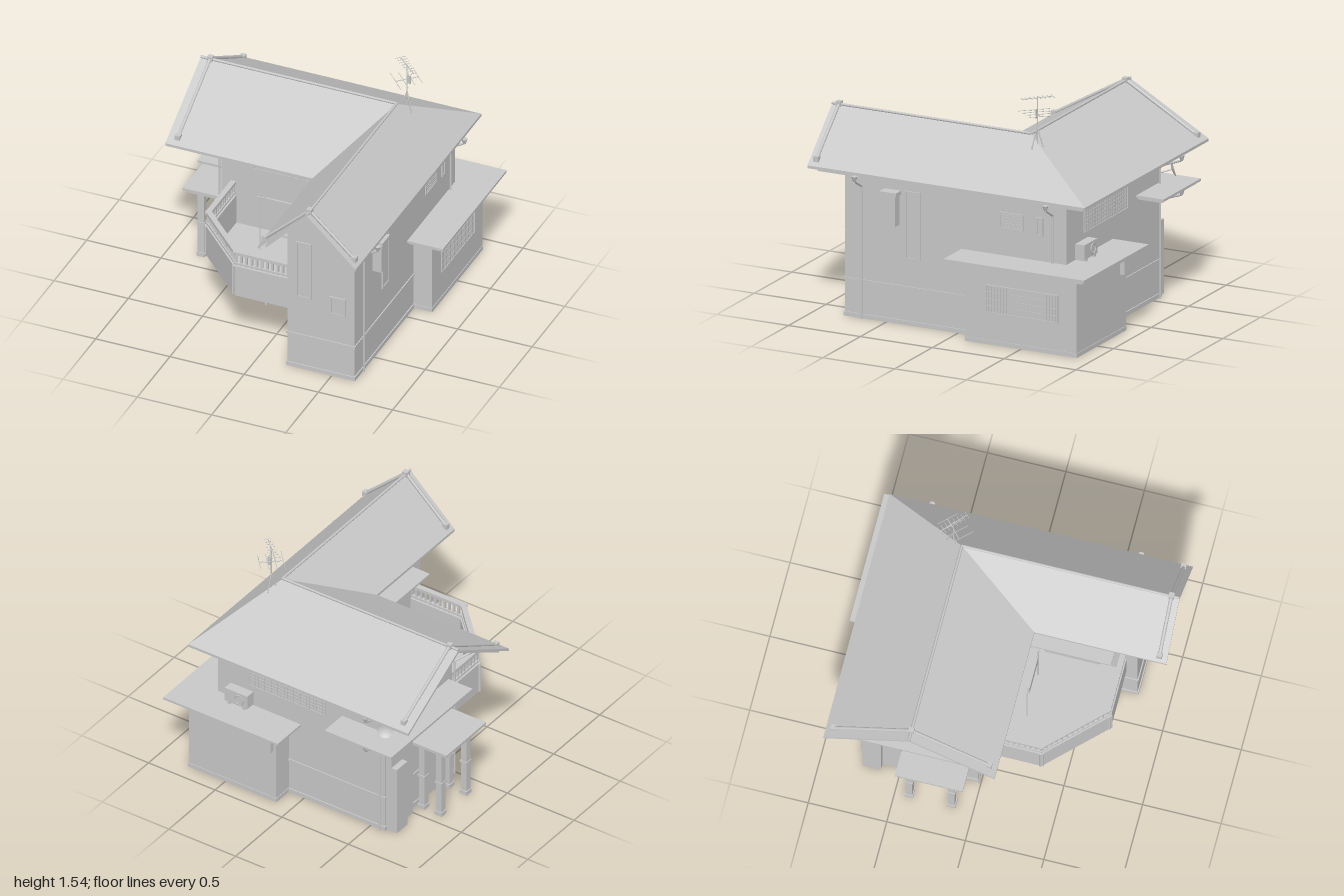
import * as THREE from 'three';

const plaster = new THREE.MeshStandardMaterial({ color: 0xc8c8c8, side: THREE.DoubleSide });
plaster.name = 'plainGrey';

export function createModel() {
  const model = new THREE.Group();
  model.name = 'house';
  let parent = model;

  const add = (name, geo) => {
    const m = new THREE.Mesh(geo, plaster);
    m.name = name;
    parent.add(m);
    return m;
  };
  const group = (name, build) => {
    const g = new THREE.Group();
    g.name = name;
    model.add(g);
    parent = g;
    build();
    parent = model;
  };
  // box given by its extents
  const box = (name, x0, x1, y0, y1, z0, z1) => {
    const m = add(name, new THREE.BoxGeometry(x1 - x0, y1 - y0, z1 - z0));
    m.position.set((x0 + x1) / 2, (y0 + y1) / 2, (z0 + z1) / 2);
    return m;
  };
  // upright slab standing on a plan segment [x,z] to [x,z]
  const seg = (name, a, b, y0, y1, t) => {
    const dx = b[0] - a[0], dz = b[1] - a[1];
    const m = add(name, new THREE.BoxGeometry(Math.hypot(dx, dz) + t, y1 - y0, t));
    m.position.set((a[0] + b[0]) / 2, (y0 + y1) / 2, (a[1] + b[1]) / 2);
    m.rotation.y = -Math.atan2(dz, dx);
  };
  // round bar through a list of points
  const pipe = (name, r, ...pts) => {
    for (let i = 0; i + 1 < pts.length; i++) {
      const a = new THREE.Vector3(...pts[i]), b = new THREE.Vector3(...pts[i + 1]);
      const d = b.clone().sub(a);
      const m = add(name, new THREE.CylinderGeometry(r, r, d.length(), 8));
      m.position.copy(a).add(b).multiplyScalar(0.5);
      m.quaternion.setFromUnitVectors(new THREE.Vector3(0, 1, 0), d.normalize());
    }
  };
  // flat polygons fanned from corner lists
  const panels = (name, polys) => {
    const v = [];
    for (const p of polys) for (let i = 1; i + 1 < p.length; i++) v.push(...p[0], ...p[i], ...p[i + 1]);
    const g = new THREE.BufferGeometry();
    g.setAttribute('position', new THREE.Float32BufferAttribute(v, 3));
    g.computeVertexNormals();
    return add(name, g);
  };
  // wall shell without floor or lid over a plan loop
  const shell = (name, loop, h) => panels(name, loop.map((a, i) => {
    const b = loop[(i + 1) % loop.length];
    return [[a[0], 0, a[1]], [a[0], h, a[1]], [b[0], h, b[1]], [b[0], 0, b[1]]];
  }));
  const band = (name, loop, y0, y1, t) =>
    loop.forEach((a, i) => seg(name, a, loop[(i + 1) % loop.length], y0, y1, t));

  // main walls with gables
  const plan = [[-0.6, -0.75], [0.65, -0.75], [0.65, 0.79], [0.2, 0.79], [0.2, -0.02], [-0.6, -0.02]];
  group('mainWalls', () => {
    shell('walls', plan, 0.98);
    panels('gables', [
      [[0.2, 0.98, 0.79], [0.65, 0.98, 0.79], [0.42, 1.22, 0.79]],
      [[-0.6, 0.98, -0.75], [-0.6, 0.98, -0.02], [-0.6, 1.22, -0.385]],
    ]);
    band('plinth', plan, 0, 0.028, 0.014);
    band('stringCourse', plan, 0.235, 0.25, 0.014);
  });

  // L-shaped roof: two hip and valley layers
  const roofLayer = (name, yr, ye, t, ins, gin) => {
    const L = -0.9 + gin, F = 1 - gin, N = -0.93 + ins, E = 0.75 - ins, W = 0.09 + ins, S = 0.16 - ins;
    const top = {
      R1: [L, yr, -0.385], H: [0.42, yr, -0.385], R2: [0.42, yr, F],
      BL: [L, ye, N], C: [E, ye, N], FR: [E, ye, F], FL: [W, ye, F], V: [W, ye, S], AL: [L, ye, S],
    };
    const low = (k) => [top[k][0], top[k][1] - t, top[k][2]];
    const slopes = [['R1', 'H', 'C', 'BL'], ['H', 'R2', 'FR', 'C'], ['R2', 'H', 'V', 'FL'], ['H', 'R1', 'AL', 'V']];
    const rim = ['BL', 'C', 'FR', 'R2', 'FL', 'V', 'AL', 'R1'];
    panels(name, [
      ...slopes.map((s) => s.map((k) => top[k])),
      ...slopes.map((s) => s.map(low).reverse()),
      ...rim.map((k, i) => {
        const n = rim[(i + 1) % rim.length];
        return [top[k], top[n], low(n), low(k)];
      }),
    ]);
  };
  group('roof', () => {
    roofLayer('roofSlab', 1.275, 0.965, 0.018, 0, 0);
    roofLayer('underRoof', 1.252, 0.947, 0.018, 0.03, 0.055);
    // ridge and verge rolls with end caps
    pipe('ridgeRoll', 0.009, [-0.9, 1.279, -0.385], [0.42, 1.279, -0.385], [0.42, 1.279, 1]);
    pipe('vergeRoll', 0.011, [-0.835, 1.0, -0.88], [-0.835, 1.285, -0.385], [-0.835, 1.0, 0.11]);
    pipe('vergeRoll', 0.011, [0.12, 1.01, 0.95], [0.42, 1.285, 0.95], [0.72, 1.01, 0.95]);
    for (const [x, y, z] of [[-0.835, 0.995, -0.88], [-0.835, 1.28, -0.385], [-0.835, 0.995, 0.11],
      [0.12, 1.005, 0.95], [0.42, 1.28, 0.95], [0.72, 1.005, 0.95]])
      box('rollCap', x - 0.017, x + 0.017, y - 0.015, y + 0.02, z - 0.017, z + 0.017);
  });

  // single-storey annex
  const annex = [[0.12, -0.887], [0.775, -0.887], [0.775, -0.115], [0.12, -0.115]];
  group('annex', () => {
    shell('annexWalls', annex, 0.515);
    band('annexPlinth', annex, 0, 0.028, 0.008);
    box('annexRoof', 0.03, 0.89, 0.53, 0.545, -1, -0.02);
    box('annexEave', 0.055, 0.865, 0.508, 0.53, -0.975, -0.045);
    box('meterBox', 0.14, 0.2, 0.38, 0.48, -0.92, -0.887);
    box('meterLid', 0.135, 0.205, 0.48, 0.49, -0.925, -0.887);
    box('coolingUnit', 0.38, 0.55, 0.56, 0.655, -0.825, -0.76);
    const fan = add('fan', new THREE.TorusGeometry(0.032, 0.004, 6, 20));
    fan.position.set(0.44, 0.607, -0.828);
    for (const x of [0.4, 0.51]) box('unitFoot', x, x + 0.02, 0.545, 0.56, -0.825, -0.76);
  });

  // framed window: u runs along the wall, axis 'x' or 'z' is the wall's run, w its plane, s its outward side
  const win = (name, axis, u0, u1, y0, y1, w, s, cols, rows, t = 0.006) => {
    const d = 0.008 * s;
    const part = (n, a, b, c, e, k) => {
      const lo = Math.min(w, w + d * k), hi = Math.max(w, w + d * k);
      if (axis === 'x') box(n, a, b, c, e, lo, hi);
      else box(n, lo, hi, c, e, a, b);
    };
    group(name, () => {
      part('pane', u0, u1, y0, y1, 0.4);
      part('frame', u0, u0 + t, y0, y1, 1);
      part('frame', u1 - t, u1, y0, y1, 1);
      part('frame', u0, u1, y0, y0 + t, 1);
      part('frame', u0, u1, y1 - t, y1, 1);
      for (let i = 1; i < cols; i++) { const u = u0 + (u1 - u0) * i / cols; part('bar', u - t / 3, u + t / 3, y0, y1, 0.8); }
      for (let i = 1; i < rows; i++) { const y = y0 + (y1 - y0) * i / rows; part('bar', u0, u1, y - t / 3, y + t / 3, 0.8); }
    });
  };
  win('frontTallWindow', 'x', 0.26, 0.36, 0.52, 0.925, 0.79, 1, 1, 1, 0.012);
  win('frontSmallWindow', 'x', 0.485, 0.59, 0.45, 0.58, 0.79, 1, 1, 1, 0.012);
  win('balconyLattice', 'x', -0.39, 0.01, 0.81, 0.885, -0.02, 1, 24, 5);
  win('backLattice', 'x', -0.16, 0.42, 0.69, 0.86, -0.75, -1, 24, 7);
  win('sideTallWindow', 'z', 0.265, 0.37, 0.425, 0.865, 0.65, 1, 1, 1, 0.012);
  win('sideLouvre', 'z', -0.455, -0.29, 0.72, 0.825, 0.65, 1, 2, 6);
  win('sideSlit', 'z', -0.59, -0.54, 0.705, 0.825, 0.65, 1, 1, 1, 0.01);
  win('annexGrille', 'z', -0.76, -0.255, 0.205, 0.385, 0.775, 1, 24, 4);

  // wall boxes and gable vents
  group('wallFittings', () => {
    box('sideBox', 0.65, 0.71, 0.64, 0.835, 0.41, 0.51);
    box('sideBoxLid', 0.65, 0.72, 0.835, 0.86, 0.4, 0.515);
    for (const x of [0.4, 0.44]) box('gableVent', x - 0.008, x + 0.008, 1.13, 1.16, 0.79, 0.798);
  });

  // balcony with chamfered corner
  group('balcony', () => {
    const path = [[-0.52, -0.02], [-0.52, 0.36], [-0.185, 0.7], [0.2, 0.7]];
    const floor = new THREE.Shape([[-0.53, 0.02], [-0.53, -0.365], [-0.19, -0.71], [0.2, -0.71], [0.2, 0.02]]
      .map((p) => new THREE.Vector2(...p)));
    const f = add('balconyFloor', new THREE.ExtrudeGeometry(floor, { depth: 0.02, bevelEnabled: false }));
    f.rotation.x = -Math.PI / 2;
    f.position.y = 0.36;
    for (let i = 0; i < 3; i++) {
      const a = path[i], b = path[i + 1];
      seg('parapet', a, b, 0.372, 0.582, 0.04);
      seg('bottomRail', a, b, 0.59, 0.602, 0.025);
      seg('topRail', a, b, 0.662, 0.682, 0.035);
      const n = Math.round(Math.hypot(b[0] - a[0], b[1] - a[1]) / 0.036);
      for (let k = 0; k <= n; k++) {
        const x = a[0] + (b[0] - a[0]) * k / n, z = a[1] + (b[1] - a[1]) * k / n;
        box('baluster', x - 0.007, x + 0.007, 0.58, 0.665, z - 0.007, z + 0.007);
      }
    }
    // door canopy and laundry pole
    box('doorCanopy', 0.04, 0.2, 0.835, 0.848, 0.1, 0.66);
    box('doorCanopyEave', 0.07, 0.2, 0.82, 0.835, 0.12, 0.64);
    box('balconyDoor', 0.19, 0.2, 0.38, 0.8, 0.2, 0.55);
    for (const x of [-0.245, 0.035]) pipe('polePost', 0.004, [x, 0.375, 0.2], [x, 0.79, 0.2]);
    pipe('laundryPole', 0.004, [-0.265, 0.765, 0.2], [0.055, 0.765, 0.2]);
    box('hangingCloth', -0.205, 0, 0.69, 0.77, 0.194, 0.206);
  });

  // ground-floor items below the balcony
  group('groundItems', () => {
    box('wallBlock', 0.11, 0.2, 0, 0.36, -0.02, 0.4);
    box('bracket', 0.06, 0.11, 0.12, 0.24, 0.1, 0.3);
    box('storageBox', -0.19, 0.04, 0.015, 0.145, 0.03, 0.22);
    for (const x of [-0.2, 0.035]) for (const z of [0.025, 0.21]) box('boxPost', x, x + 0.015, 0, 0.15, z, z + 0.015);
    for (const x of [-0.15, -0.04]) box('boxHandle', x, x + 0.05, 0.145, 0.16, 0.1, 0.14);
    for (let i = 0; i < 5; i++) box('boxSlat', -0.13 + i * 0.011, -0.125 + i * 0.011, 0.02, 0.12, 0.22, 0.226);
  });

  // left side: entrance porch, side blocks and corner canopy
  group('porch', () => {
    box('sideBlock', -0.64, -0.6, 0, 0.72, -0.735, -0.5);
    box('cornerBlock', -0.68, -0.6, 0, 0.48, -0.735, -0.62);
    box('porchRoof', -0.875, -0.6, 0.502, 0.518, -0.48, -0.05);
    box('porchEave', -0.85, -0.6, 0.48, 0.502, -0.46, -0.07);
    for (const x of [-0.783, -0.655]) for (const z of [-0.41, -0.14]) {
      box('post', x - 0.021, x + 0.021, 0, 0.48, z - 0.021, z + 0.021);
      box('postBase', x - 0.027, x + 0.027, 0, 0.028, z - 0.027, z + 0.027);
      box('postBand', x - 0.026, x + 0.026, 0.235, 0.25, z - 0.026, z + 0.026);
    }
    box('entranceDoor', -0.609, -0.6, 0.028, 0.42, -0.36, -0.19);
    box('canopyBack', -0.78, -0.28, 0.725, 0.74, -0.94, -0.75);
    box('canopySide', -0.78, -0.6, 0.725, 0.74, -0.75, -0.06);
    box('canopyBackEave', -0.755, -0.305, 0.707, 0.725, -0.915, -0.75);
    box('canopySideEave', -0.755, -0.6, 0.707, 0.725, -0.75, -0.085);
  });

  // rainwater pipes with hoppers
  group('downpipes', () => {
    const drain = (hop, x, z, top, bottom) => {
      const h = add('hopper', new THREE.CylinderGeometry(0.02, 0.008, 0.035, 8));
      h.position.set(hop[0], top, hop[1]);
      pipe('downpipe', 0.007, [hop[0], top - 0.015, hop[1]], [x, top - 0.07, z], [x, bottom, z]);
    };
    drain([0.755, 0.67], 0.662, 0.67, 0.925, 0);
    drain([0.755, -0.66], 0.662, -0.66, 0.925, 0.545);
    drain([-0.57, -0.915], -0.57, -0.765, 0.925, 0.74);
    drain([-0.57, -0.915], -0.57, -0.765, 0.705, 0);
    drain([-0.7, 0.1], -0.61, -0.01, 0.925, 0);
  });

  // satellite dish on the back corner
  group('satelliteDish', () => {
    const d = add('dish', new THREE.SphereGeometry(0.09, 20, 6, 0, Math.PI * 2, 0, 0.6));
    d.position.set(-0.6, 0.8, -0.76);
    d.quaternion.setFromUnitVectors(new THREE.Vector3(0, 1, 0), new THREE.Vector3(0.5, -0.25, 0.8).normalize());
    d.position.set(-0.69, 0.84, -0.88);
    pipe('dishArm', 0.005, [-0.6, 0.8, -0.75], [-0.64, 0.82, -0.81]);
  });

  // roof aerial on a tripod
  group('aerial', () => {
    const cx = 0.46, cz = -0.45;
    pipe('mast', 0.004, [cx, 1.22, cz], [cx, 1.54, cz]);
    for (let i = 0; i < 3; i++) {
      const a = i * Math.PI * 2 / 3 + 0.5;
      const x = cx + 0.045 * Math.cos(a), z = cz + 0.045 * Math.sin(a);
      pipe('tripodLeg', 0.004, [cx, 1.34, cz], [x, 1.2, z]);
    }
    const yagi = (name, y, angle, len, n, span) => {
      const c = Math.cos(angle), s = Math.sin(angle);
      pipe(name + 'Boom', 0.003, [cx - c * len, y, cz - s * len], [cx + c * len, y, cz + s * len]);
      for (let i = 0; i < n; i++) {
        const k = len * (2 * i / (n - 1) - 1), e = span * (1 - 0.4 * i / n);
        const x = cx + c * k, z = cz + s * k;
        pipe(name + 'Element', 0.002, [x + s * e, y, z - c * e], [x - s * e, y, z + c * e]);
      }
    };
    yagi('upper', 1.53, 0.75, 0.1, 8, 0.035);
    yagi('lower', 1.43, -0.75, 0.075, 4, 0.1);
    box('reflector', cx - 0.002, cx + 0.025, 1.4, 1.46, cz - 0.002, cz + 0.002);
  });

  return model;
}
